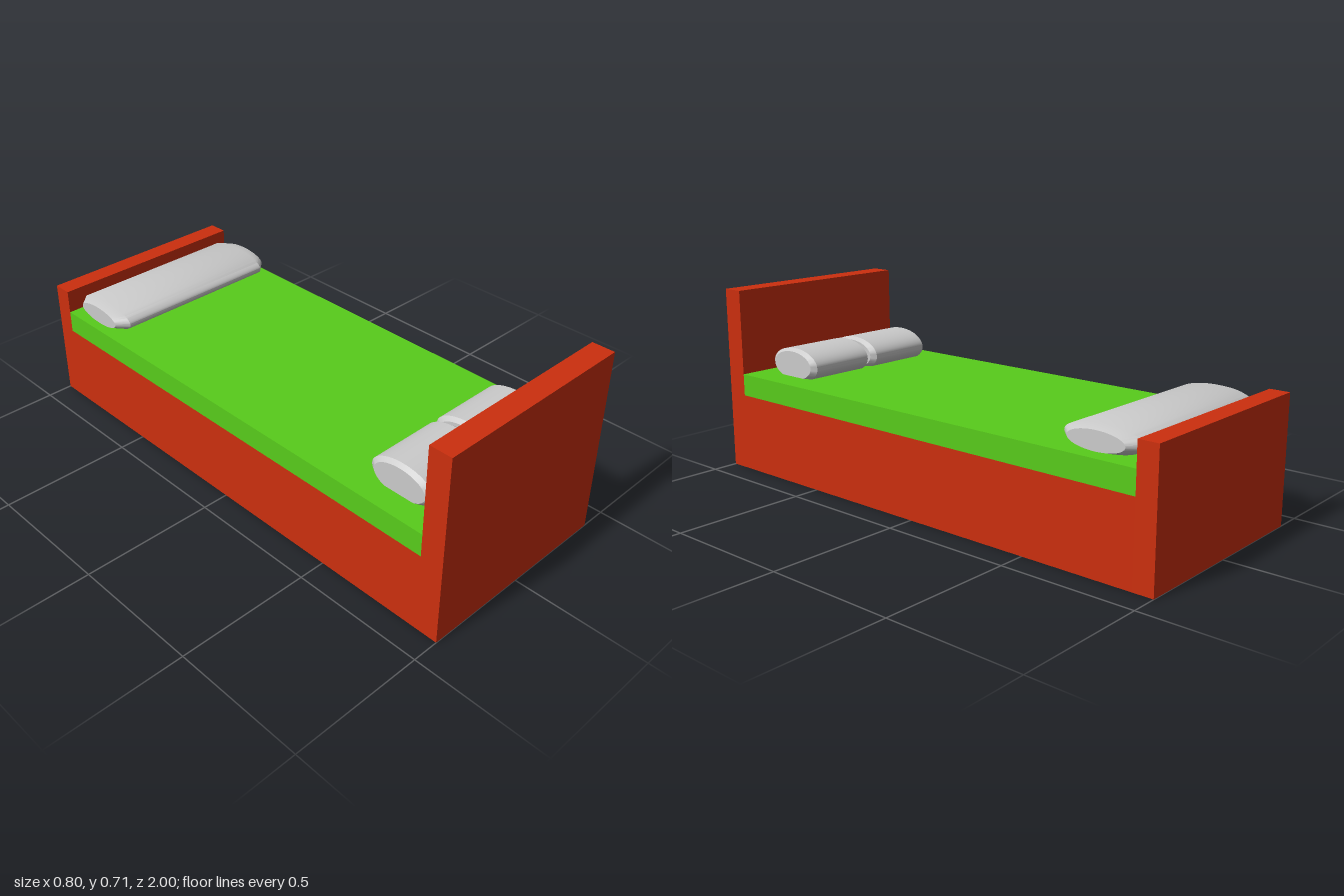
import * as THREE from 'three';
import { toCreasedNormals } from 'three/addons/utils/BufferGeometryUtils.js';

const red = new THREE.MeshStandardMaterial({ color: 0xcc2f0e });
const green = new THREE.MeshStandardMaterial({ color: 0x58cc1b });
const grey = new THREE.MeshStandardMaterial({ color: 0xcccccc });
const WIDTH = 0.8;

// Full-width slab between two heights and two depths
function slab(name, y0, y1, z0, z1, material) {
  const mesh = new THREE.Mesh(new THREE.BoxGeometry(WIDTH, y1 - y0, z1 - z0), material);
  mesh.position.set(0, (y0 + y1) / 2, (z0 + z1) / 2);
  mesh.name = name;
  return mesh;
}

// Oval roll lying along x, with chamfered ends
function pillow(name, x0, x1, ry, rz, chamfer, capScale, z) {
  const half = (x1 - x0) / 2;
  const profile = [
    [0, -half], [capScale, -half], [1, -half + chamfer],
    [1, half - chamfer], [capScale, half], [0, half],
  ].map(([r, h]) => new THREE.Vector2(r, h));
  const lathe = new THREE.LatheGeometry(profile, 48);
  lathe.scale(ry, 1, rz);
  lathe.rotateZ(Math.PI / 2);
  const mesh = new THREE.Mesh(toCreasedNormals(lathe, 0.45), grey);
  mesh.position.set((x0 + x1) / 2, 0.43, z);
  mesh.name = name;
  return mesh;
}

export function createModel() {
  const bed = new THREE.Group();
  bed.name = 'bed';

  // Frame, end boards and mattress
  bed.add(
    slab('bedBase', 0, 0.3, -0.925, 0.915, red),
    slab('headboard', 0, 0.715, 0.915, 1, red),
    slab('footboard', 0, 0.475, -1, -0.925, red),
    slab('mattress', 0.3, 0.385, -0.925, 0.915, green),
  );

  // Two head pillows and one long roll at the foot
  bed.add(
    pillow('rightPillow', -0.31, -0.015, 0.066, 0.128, 0.016, 0.83, 0.738),
    pillow('leftPillow', 0.003, 0.297, 0.066, 0.128, 0.016, 0.83, 0.738),
    pillow('footPillow', -0.375, 0.372, 0.046, 0.148, 0.042, 0.73, -0.758),
  );
  return bed;
}
